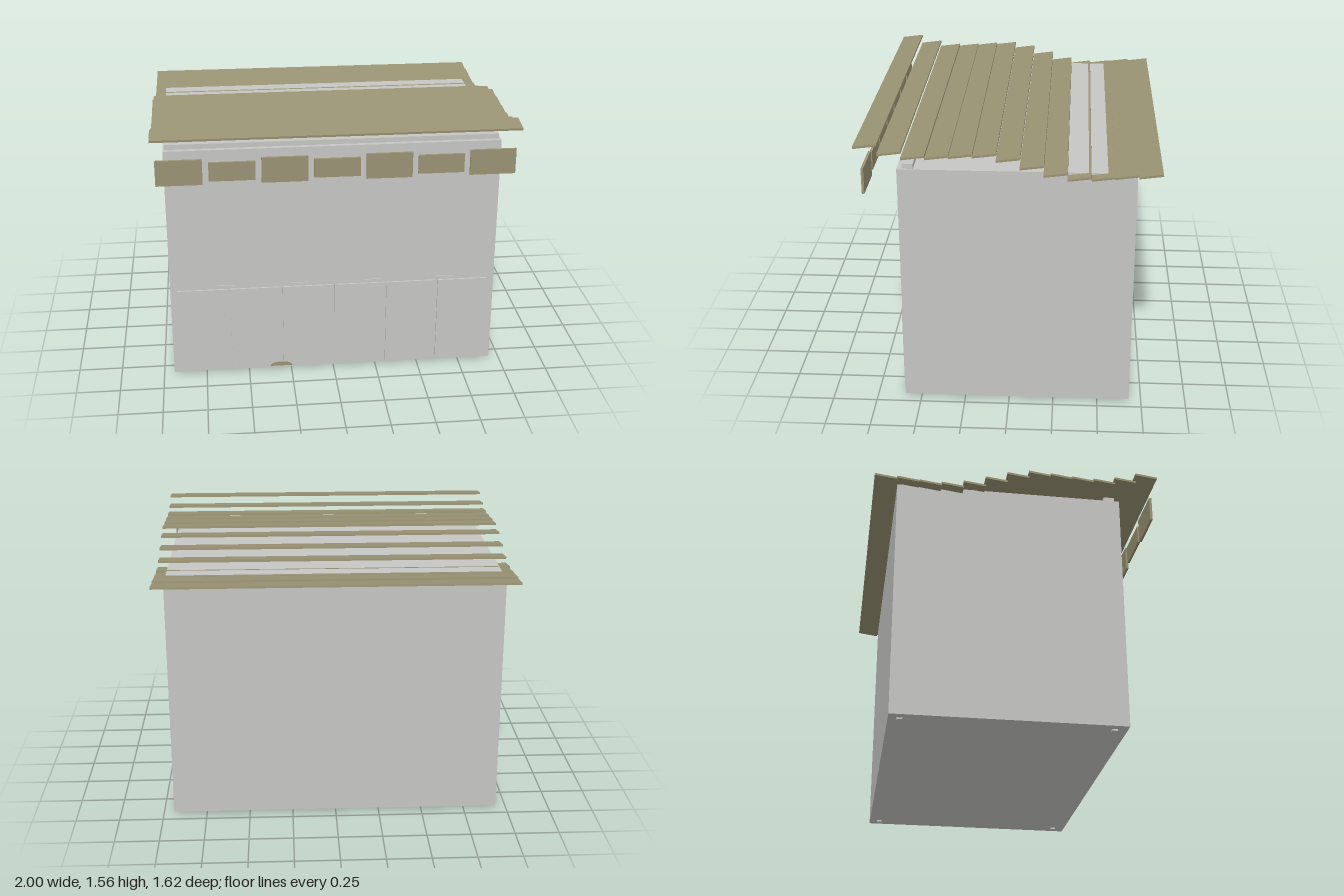
import * as THREE from 'three';

const wallGrey = new THREE.MeshStandardMaterial({ color: 0xc5c5c3 });
wallGrey.name = 'wallGrey';
const olive = new THREE.MeshStandardMaterial({ color: 0x999373 });
olive.name = 'olive';

export function createModel() {
  const model = new THREE.Group();

  // Box given by its min and max on each axis
  const block = (name, mat, [x0, x1], [y0, y1], [z0, z1]) => {
    const mesh = new THREE.Mesh(new THREE.BoxGeometry(x1 - x0, y1 - y0, z1 - z0), mat);
    mesh.position.set((x0 + x1) / 2, (y0 + y1) / 2, (z0 + z1) / 2);
    mesh.name = name;
    model.add(mesh);
    return mesh;
  };

  // Main building and the low ledge on its roof
  block('walls', wallGrey, [-0.94, 0.94], [0.01, 1.4], [-0.68, 0.592]);
  block('roofLedge', wallGrey, [-0.93, 0.93], [1.4, 1.428], [0.505, 0.565]);

  // Small feet under the corners
  for (const x of [-0.88, 0.88]) {
    for (const z of [-0.62, 0.52]) {
      block('foot', wallGrey, [x - 0.015, x + 0.015], [0, 0.01], [z - 0.015, z + 0.015]);
    }
  }

  // Wavy roof of overlapping planks, listed front to back by height
  const plankHeights = [1.548, 1.51, 1.49, 1.493, 1.502, 1.508, 1.486,
    1.446, 1.407, 1.3875, 1.3905, 1.403, 1.409];
  plankHeights.forEach((y, i) => {
    const plank = new THREE.Mesh(new THREE.BoxGeometry(2, 0.012, 0.127), olive);
    plank.position.set(0, y, 0.745 - i * 0.1243);
    plank.rotation.x = 0.13;
    plank.name = 'roofPlank';
    model.add(plank);
  });

  // Hanging boards, alternating large and small
  for (let i = 0; i < 7; i++) {
    const x = (i - 3) * 0.2845;
    const large = i % 2 === 0;
    const y = large ? [1.272, 1.416] : [1.29, 1.397];
    block('hangingBoard', olive, [x - 0.126, x + 0.126], y, [0.76, 0.774]);
  }

  // Row of door panels with narrow gaps
  for (let i = 0; i < 6; i++) {
    const x = -0.755 + i * 0.302;
    block('doorPanel', wallGrey, [x - 0.145, x + 0.145], [0.025, 0.545], [0.59, 0.602]);
  }

  // Slim trim strips above the doors
  for (const x of [-0.62, -0.2, 0.225, 0.65]) {
    block('doorTrim', wallGrey, [x - 0.05, x + 0.05], [0.561, 0.568], [0.59, 0.598]);
  }

  // Low mound at the foot of the doors
  const mound = new THREE.Mesh(new THREE.CircleGeometry(1, 16, 0, Math.PI), olive);
  mound.scale.set(0.065, 0.028, 1);
  mound.position.set(-0.31, 0.025, 0.605);
  mound.name = 'mound';
  model.add(mound);

  // Side fitting on the left wall
  block('sideFitting', wallGrey, [0.935, 0.944], [1.2, 1.245], [-0.64, -0.59]);

  return model;
}
